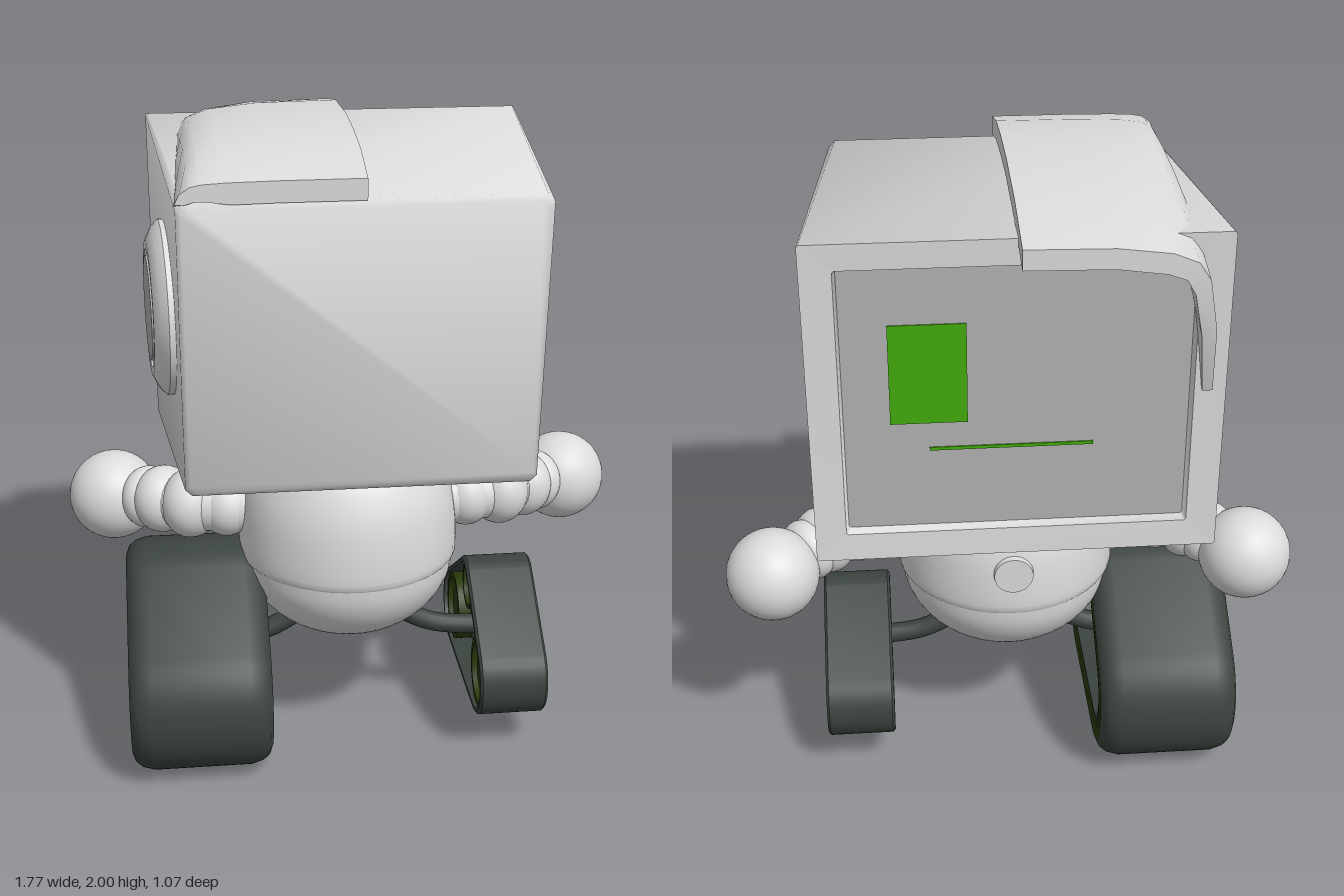
import * as THREE from 'three';
import { toCreasedNormals } from 'three/addons/utils/BufferGeometryUtils.js';

const V = (x, y, z) => new THREE.Vector3(x, y, z);
const paint = (name, color) => Object.assign(new THREE.MeshStandardMaterial({ color }), { name });

// Skin a list of closed rings; optional fan caps on both ends
function loft(rings, capStart = false, capEnd = false) {
  const n = rings[0].length, pos = [], idx = [];
  rings.forEach(r => r.forEach(p => pos.push(p.x, p.y, p.z)));
  for (let i = 0; i < rings.length - 1; i++) for (let j = 0; j < n; j++) {
    const a = i * n + j, b = i * n + (j + 1) % n, c = a + n, d = b + n;
    idx.push(a, c, b, b, c, d);
  }
  const last = (rings.length - 1) * n;
  for (let j = 1; j < n - 1; j++) {
    if (capStart) idx.push(0, j, j + 1);
    if (capEnd) idx.push(last, last + j + 1, last + j);
  }
  const g = new THREE.BufferGeometry();
  g.setAttribute('position', new THREE.Float32BufferAttribute(pos, 3));
  g.setIndex(idx);
  g.computeVertexNormals();
  return g;
}

// Wheels as [z, y, radius]; the tracks wrap around them
const wheels = [[0.25, 0.245, 0.115], [-0.21, 0.25, 0.115], [0.03, 0.45, 0.08]];
function trackRing(x, offset) {
  const ring = [];
  for (let i = 0; i < 72; i++) {
    const t = i / 72 * Math.PI * 2, c = Math.cos(t), s = Math.sin(t);
    const reach = w => w[0] * c + w[1] * s + w[2];
    const w = wheels.reduce((a, b) => reach(b) > reach(a) ? b : a);
    ring.push(V(x, w[1] + s * (w[2] + offset), w[0] + c * (w[2] + offset)));
  }
  return ring;
}
const trackSweep = section => toCreasedNormals(loft(section.map(([x, d]) => trackRing(x, d))), 0.7);

export function createModel() {
  const white = paint('white shell', 0xdcdcdc);
  const grey = paint('screen grey', 0xb2b2b2);
  const rubber = paint('dark rubber', 0x3c443f);
  const olive = paint('dark olive', 0x2a3a0c);
  const green = paint('display green', 0x43ab0e);
  const model = new THREE.Group();
  const add = (name, geo, mat, parent = model, at = [0, 0, 0]) => {
    const m = new THREE.Mesh(geo, mat);
    m.name = name;
    m.position.set(...at);
    parent.add(m);
    return m;
  };
  const group = (name, parent = model) => {
    const g = new THREE.Group();
    g.name = name;
    parent.add(g);
    return g;
  };

  // Head: tapered box with a sloping front and a recessed back
  const head = group('head');
  const rect = (w, y0, y1, zAt, c) => [
    [w, y0 + c], [w, y1 - c], [w - c, y1], [-w + c, y1],
    [-w, y1 - c], [-w, y0 + c], [-w + c, y0], [w - c, y0],
  ].map(([x, y]) => V(x, y, zAt(y)));
  const front = y => 0.452 + (y - 1) * 0.09;
  const flat = z => () => z;
  add('headShell', toCreasedNormals(loft([
    rect(0.5, 1.005, 1.855, front, 0.02),
    rect(0.515, 0.99, 1.87, y => front(y) - 0.015, 0.02),
    rect(0.59, 0.925, 1.93, flat(-0.43), 0.006),
    rect(0.5, 1.01, 1.85, flat(-0.425), 0.006),
    rect(0.49, 1.02, 1.84, flat(-0.39), 0.006),
  ], true, false), 1), white, head);
  add('screen', new THREE.BoxGeometry(0.99, 0.83, 0.008), grey, head, [0, 1.43, -0.393]);
  add('screenEye', new THREE.BoxGeometry(0.22, 0.31, 0.006), green, head, [0.25, 1.515, -0.398]);
  add('screenMouth', new THREE.BoxGeometry(0.47, 0.01, 0.006), green, head, [0.015, 1.275, -0.398]);

  // Ear disc on the side wall
  const ear = group('ear', head);
  ear.position.set(-0.55, 1.46, 0.11);
  ear.rotation.y = 0.073;
  const rim = [[0.26, -0.04], [0.26, 0.01], [0.24, 0.03], [0.2, 0.05], [0.175, 0.05], [0.165, 0.035]]
    .map(p => new THREE.Vector2(...p));
  add('earRim', toCreasedNormals(new THREE.LatheGeometry(rim, 48), 0.6), white, ear).rotation.z = Math.PI / 2;
  add('earCap', new THREE.CylinderGeometry(0.155, 0.168, 0.07, 48), grey, ear, [-0.018, 0, 0])
    .rotation.z = Math.PI / 2;

  // Half cap over one side of the head, ending in a pointed rear corner
  const prof = [[0, 0], [0.25, 0.01], [0.4, 0.05], [0.47, 0.11], [0.505, 0.22], [0.535, 0.55], [0.55, 1]];
  const inset = [[0, 0.06], [0, 0.06], [0.01, 0.06], [0.03, 0.05], [0.04, 0.04], [0.04, 0.02], [0.03, 0]];
  const capRing = ([z, top, low, zLow, s], thin) => {
    const pts = prof.map(([x, f]) => V(-x * s, top - f * (top - low), z + (zLow - z) * f * f));
    const inner = pts.map((p, i) => V(p.x + inset[i][0], p.y - inset[i][1], p.z));
    return [...(thin ? inner : pts), ...inner.slice().reverse()];
  };
  const rows = [
    [0.53, 1.93, 1.87, 0.53, 0.94], [0.36, 1.975, 1.82, 0.36, 0.95], [0.18, 1.993, 1.77, 0.18, 0.96],
    [0, 2, 1.7, 0, 0.97], [-0.3, 1.985, 1.58, -0.25, 0.99], [-0.54, 1.945, 1.45, -0.435, 1],
  ];
  add('headCap', toCreasedNormals(loft([
    capRing(rows[0], true), ...rows.map(r => capRing(r)), capRing(rows[5], true),
  ]), 0.7), white, head);

  // Body: rounded bowl and shell with a seam, trimmed at the upper back
  const body = group('body');
  body.position.z = 0.03;
  const lathe = pts => new THREE.LatheGeometry(
    new THREE.SplineCurve(pts.map(p => new THREE.Vector2(...p))).getPoints(24), 48);
  const bowl = [];
  for (let i = 0; i <= 8; i++) {
    const a = i / 8 * Math.PI / 2;
    bowl.push([0.338 * Math.sin(a), 0.62 - 0.275 * Math.cos(a)]);
  }
  add('bodyBowl', lathe(bowl), white, body);
  const shell = lathe([[0.33, 0.618], [0.345, 0.622], [0.346, 0.7], [0.336, 0.8], [0.312, 0.88],
    [0.27, 0.95], [0.2, 0.985], [0.1, 0.986], [0, 0.986]]);
  const sp = shell.attributes.position;
  for (let i = 0; i < sp.count; i++) {
    sp.setY(i, Math.min(sp.getY(i), 0.95 + (sp.getZ(i) + 0.15) * 0.55));
  }
  add('bodyShell', toCreasedNormals(shell, 0.7), white, body);
  const button = add('backButton', new THREE.CylinderGeometry(0.06, 0.065, 0.05, 32), white, body, [0, 0.76, -0.325]);
  button.rotation.x = -Math.PI / 2;

  // Wheel: drum with a raised hub on both faces
  const wheelGeo = r => toCreasedNormals(new THREE.LatheGeometry([
    [0, -0.085], [r * 0.55, -0.085], [r * 0.6, -0.07], [r * 0.8, -0.07], [r * 0.85, -0.095], [r, -0.095],
    [r, 0.095], [r * 0.85, 0.095], [r * 0.8, 0.07], [r * 0.6, 0.07], [r * 0.55, 0.085], [0, 0.085],
  ].map(p => new THREE.Vector2(...p)), 40), 0.6);
  const tube = (pts, r) => new THREE.TubeGeometry(new THREE.CatmullRomCurve3(pts), 16, r, 14);

  for (const s of [1, -1]) {
    const side = s > 0 ? 'left' : 'right';

    // Arm: swept-back chain of rounded segments with a ball hand
    const arm = group(side + 'Arm');
    const path = new THREE.CatmullRomCurve3([
      V(s * 0.3, 0.765, 0.02), V(s * 0.48, 0.77, -0.01), V(s * 0.6, 0.76, -0.085), V(s * 0.7, 0.74, -0.17)]);
    [[0.18, 0.1, 0.09], [0.43, 0.112, 0.095], [0.66, 0.108, 0.09], [0.8, 0.1, 0.07]].forEach(([t, r, len], i) => {
      const seg = add('armSegment' + (i + 1), new THREE.SphereGeometry(r, 32, 20), white, arm, path.getPointAt(t).toArray());
      seg.quaternion.setFromUnitVectors(V(0, 0, 1), path.getTangentAt(t));
      seg.scale.z = len / r;
    });
    add('armCore', new THREE.TubeGeometry(path, 16, 0.088, 20), white, arm);
    add('hand', new THREE.SphereGeometry(0.145, 40, 28), white, arm, [s * 0.742, 0.73, -0.2]);

    // Track unit: leg, hub, struts, wheels and belt
    const unit = group(side + 'Track');
    add('leg', tube([V(s * 0.12, 0.42, 0.03), V(s * 0.2, 0.36, 0.03), V(s * 0.29, 0.32, 0.03),
      V(s * 0.49, 0.3, 0.03)], 0.032), rubber, unit);
    add('hub', new THREE.CylinderGeometry(0.058, 0.058, 0.14, 28), rubber, unit, [s * 0.49, 0.3, 0.03])
      .rotation.z = Math.PI / 2;
    wheels.forEach(([z, y, r], i) => {
      add('strut' + (i + 1), tube([V(s * 0.49, i < 2 ? 0.26 : 0.3, 0.03), V(s * 0.49, y, z)], 0.035), rubber, unit);
      add('wheel' + (i + 1), wheelGeo(r), olive, unit, [s * 0.49, y, z]).rotation.z = Math.PI / 2;
    });
    const w = s > 0 ? 0.108 : 0.215;
    add('belt', trackSweep([[-w, -0.004], [-w, 0.008], [-w + 0.008, 0.016], [w - 0.008, 0.016],
      [w, 0.008], [w, -0.004], [-w, -0.004]]), rubber, unit, [s * 0.49, 0, 0]);
  }

  // Thick outer tread fitted on one side only
  const tread = group('outerTread');
  tread.position.x = -0.49;
  const half = [[-0.218, 0.075], [-0.208, 0.1], [-0.188, 0.117], [-0.15, 0.128]];
  const mirror = list => list.map(([x, d]) => [-x, d]).reverse();
  add('treadFace', trackSweep([...half, ...mirror(half)]), rubber, tread);
  const wall = [[-0.208, 0.008], [-0.218, 0.025], [-0.218, 0.075]];
  add('treadWallOuter', trackSweep(wall), olive, tread);
  add('treadWallInner', trackSweep(mirror(wall)), olive, tread);

  return model;
}
